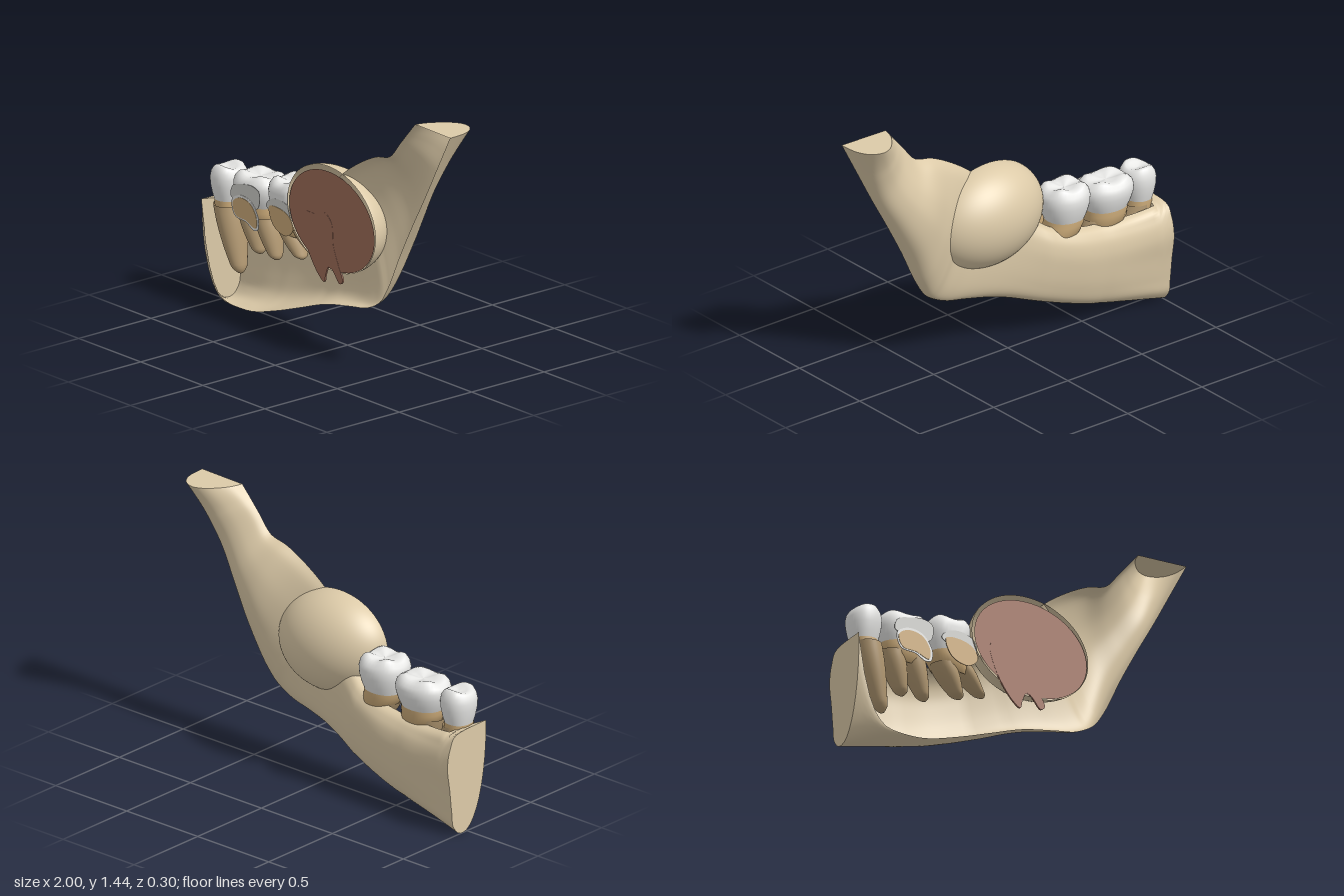
import * as THREE from 'three';

const mat = (name, color) => {
  const m = new THREE.MeshStandardMaterial({ color, side: THREE.DoubleSide });
  m.name = name;
  return m;
};
const FRONT = 0.15; // plane of the lengthwise cut
const step = THREE.MathUtils.smoothstep;

// indexed grid of rows; closed rows wrap around
function grid(rows, closed) {
  const n = rows[0].length, pos = rows.flat(2), idx = [];
  for (let i = 0; i < rows.length - 1; i++) {
    for (let j = 0; j < (closed ? n : n - 1); j++) {
      const a = i * n + j, b = i * n + (j + 1) % n, c = a + n, d = b + n;
      if (closed) idx.push(a, c, b, b, c, d);
      else idx.push(a, b, c, b, d, c);
    }
  }
  const g = new THREE.BufferGeometry();
  g.setAttribute('position', new THREE.Float32BufferAttribute(pos, 3));
  g.setIndex(idx);
  g.computeVertexNormals();
  return g;
}

// flat lid over an open row of points
function fan(row, flip) {
  const n = row.length, pos = [];
  const c = [0, 1, 2].map((k) => row.reduce((sum, p) => sum + p[k], 0) / n);
  row.forEach((p, j) => {
    const q = row[(j + 1) % n];
    pos.push(...c, ...(flip ? q : p), ...(flip ? p : q));
  });
  const g = new THREE.BufferGeometry();
  g.setAttribute('position', new THREE.Float32BufferAttribute(pos, 3));
  g.computeVertexNormals();
  return g;
}

// rings listed from bottom to top: [x, y, z, rx, rz, cusp height]
function loft(rings, power = 1, cusps = 4) {
  const segs = 40;
  const f = (v) => Math.sign(v) * Math.abs(v) ** power;
  return grid(rings.map(([x, y, z, rx, rz, cusp = 0]) =>
    Array.from({ length: segs }, (_, j) => {
      const a = (j / segs) * Math.PI * 2;
      return [x + rx * f(Math.cos(a)), y - cusp * Math.cos(cusps * a),
        Math.min(z + rz * f(Math.sin(a)), FRONT - 0.008)];
    })), true);
}

// smooth outline through a few points
function outline(points) {
  const curve = new THREE.CatmullRomCurve3(
    points.map(([x, y]) => new THREE.Vector3(x, y, 0)), true);
  return new THREE.Shape(curve.getPoints(90).slice(0, -1).map((p) => new THREE.Vector2(p.x, p.y)));
}

export function createModel() {
  const group = new THREE.Group();
  const bone = mat('bone', 0xdccaa8);
  const enamel = mat('enamel', 0xe8e8e6);
  const dentin = mat('cut dentin', 0xcfcfcb);
  const neck = mat('tooth neck', 0xcdac7a);
  const rootMat = mat('root', 0xb59b74);
  const lesion = mat('lesion', 0x9e6d59);
  const add = (name, geo, material, parent = group) => {
    const m = new THREE.Mesh(geo, material);
    m.name = name;
    parent.add(m);
    return m;
  };

  // cross-sections of cut end, body and ramus: [lower to upper, depth]
  const profiles = [
    [[0, 0], [-0.114, 0.6], [-0.02, 0.84], [0.15, 0.89], [0.4, 0.94], [0.65, 1], [0.85, 0.93], [0.98, 0.74], [1, 0]],
    [[0, 0], [0.02, 0.5], [0.1, 0.78], [0.28, 0.91], [0.5, 0.98], [0.7, 1], [0.87, 0.92], [0.98, 0.68], [1, 0]],
    [[0, 0], [0.02, 0.45], [0.1, 0.75], [0.23, 0.93], [0.41, 1], [0.58, 0.92], [0.74, 0.73], [0.92, 0.38], [1, 0.04]],
  ].map((p) => new THREE.SplineCurve(p.map(([u, w]) => new THREE.Vector2(u, w))));

  // jaw stations: lower x, y, upper x, y, depth, position along the profiles
  const stations = [
    [-1, 0.06, -1, 0.585, 0.303, 0],
    [-0.8, 0.06, -0.8, 0.56, 0.275, 0.45],
    [-0.6, 0.065, -0.6, 0.565, 0.262, 0.95],
    [-0.4, 0.12, -0.42, 0.59, 0.252, 1],
    [-0.2, 0.19, -0.26, 0.64, 0.22, 1],
    [0, 0.26, -0.12, 0.75, 0.16, 1.15],
    [0.2, 0.3, 0, 0.9, 0.11, 1.5],
    [0.33, 0.325, 0.08, 0.97, 0.09, 1.8],
    [0.43, 0.38, 0.16, 1.04, 0.1, 2],
    [0.5, 0.48, 0.28, 1.12, 0.13, 2],
    [0.6, 0.69, 0.4, 1.18, 0.155, 2],
    [0.7, 0.88, 0.51, 1.21, 0.135, 2],
    [0.8, 1.06, 0.59, 1.3, 0.115, 2],
    [0.9, 1.25, 0.65, 1.37, 0.145, 2],
    [1, 1.44, 0.71, 1.44, 0.21, 2],
  ];
  const curveOf = (fn) => new THREE.CatmullRomCurve3(stations.map((s) => new THREE.Vector3(...fn(s))));
  const lower = curveOf((s) => [s[0], s[1], 0]);
  const upper = curveOf((s) => [s[2], s[3], 0]);
  const form = curveOf((s) => [s[4], s[5], 0]);
  const rows = [];
  for (let i = 0; i <= 84; i++) {
    const t = i / 84, lo = lower.getPoint(t), up = upper.getPoint(t), f = form.getPoint(t);
    const kind = THREE.MathUtils.clamp(f.y, 0, 2), k = Math.min(1, Math.floor(kind));
    // the crest stays open in front of the roots
    const open = step(up.x, -1, -0.93) * (1 - step(up.x, -0.3, -0.1));
    const start = 0.125 * (1 - step(lo.x, -0.9, -0.4));
    const end = 1 - 0.125 * open;
    const inner = Array.from({ length: 41 }, (_, j) => {
      const v = start + (end - start) * j / 40;
      const p = profiles[k].getPoint(v).lerp(profiles[k + 1].getPoint(v), kind - k);
      return [lo.x + (up.x - lo.x) * p.x, Math.max(0, lo.y + (up.y - lo.y) * p.x), FRONT - f.x * Math.max(0, p.y)];
    });
    // outer lip rising towards the cut end
    const [sx, sy, sz] = inner[0];
    const rim = lo.y + 0.5 * Math.max(0, (-0.6 - lo.x) / 0.4) ** 6;
    const lip = Array.from({ length: 10 }, (_, j) => {
      const b = (1 - j / 10) * Math.PI / 2;
      return [sx, sy + (rim - sy) * (1 - Math.cos(b)), sz + (FRONT - sz) * Math.sin(b)];
    });
    rows.push([...lip, ...inner]);
  }
  add('jawBone', grid(rows, false), bone);
  add('frontEndCap', fan(rows[0], true), bone);
  add('ramusTopCap', fan(rows[84], false), bone);

  // swollen bone shell with the lesion section inside
  const shell = add('swollenShell', new THREE.SphereGeometry(1, 56, 40, Math.PI, Math.PI), bone);
  shell.scale.set(0.356, 0.284, 0.245);
  shell.rotation.z = -0.15;
  shell.position.set(0.045, 0.744, FRONT);
  const disc = add('lesionSection', new THREE.CircleGeometry(1, 72), lesion);
  disc.scale.set(0.345, 0.266, 1);
  disc.rotation.z = -0.15;
  disc.position.set(0.048, 0.733, FRONT - 0.001);

  // buried tooth, cut flush with the lesion
  const buried = new THREE.ExtrudeGeometry(outline([
    [-0.2, 0.7], [-0.17, 0.735], [-0.09, 0.74], [-0.01, 0.765], [0.045, 0.72], [0.06, 0.6],
    [0.1, 0.5], [0.135, 0.42], [0.11, 0.4], [0.055, 0.46], [0.025, 0.475], [0, 0.43],
    [-0.015, 0.38], [-0.06, 0.41], [-0.13, 0.5], [-0.18, 0.6],
  ]), { depth: 0.01, bevelEnabled: false });
  add('buriedTooth', buried, lesion).position.z = FRONT - 0.01;

  // teeth: crown centre, base, height, half sizes, cusps, roots [top x, y, tip x, y, radius]
  const teeth = [
    { name: 'premolar', x: -0.908, z: 0.04, y: 0.585, h: 0.2, rx: 0.092, rz: 0.1, cusp: 0.01, n: 2, shift: 0.02,
      roots: [[-0.895, 0.57, -0.8, 0.2, 0.078]] },
    { name: 'firstMolar', x: -0.675, z: 0.02, y: 0.615, h: 0.18, rx: 0.155, rz: 0.128, cusp: 0.008, n: 4, shift: 0.02,
      roots: [[-0.735, 0.57, -0.665, 0.34, 0.07], [-0.61, 0.57, -0.53, 0.34, 0.068]] },
    { name: 'secondMolar', x: -0.4, z: 0.025, y: 0.63, h: 0.205, rx: 0.138, rz: 0.128, cusp: 0.01, n: 4, shift: 0.05,
      roots: [[-0.42, 0.57, -0.32, 0.4, 0.068], [-0.31, 0.58, -0.18, 0.44, 0.062]] },
  ];
  const profile = [[0, 0.76, 0], [0.2, 0.88, 0], [0.45, 0.98, 0], [0.65, 1, 0.2], [0.8, 0.94, 0.6],
    [0.92, 0.8, 1], [0.96, 0.64, 1], [0.92, 0.42, 0.6], [0.88, 0.2, 0.2], [0.87, 0, 0]];
  for (const t of teeth) {
    const tooth = new THREE.Group();
    tooth.name = t.name;
    group.add(tooth);
    add('crown', loft(profile.map(([v, r, c]) =>
      [t.x, t.y + v * t.h, t.z, t.rx * r, t.rz * r, t.cusp * c]), 0.9, t.n), enamel, tooth);
    add('neck', loft([[1, -0.1, 0.5], [0.5, -0.07, 0.72], [0.1, -0.02, 0.78], [0, 0.015, 0.78]].map(([k, dy, r]) =>
      [t.x + k * t.shift, t.y + dy, t.z, t.rx * r, t.rz * r]), 0.9), neck, tooth);
    for (const [x0, y0, x1, y1, r] of t.roots) {
      const rings = [];
      for (let i = 0; i <= 14; i++) {
        const v = (i / 14) ** 1.5; // closer rings round off the tip
        const size = r * (0.42 * Math.sqrt(Math.min(1, v * 9)) + 0.58 * Math.sin(v * Math.PI / 2));
        rings.push([x1 + (x0 - x1) * v ** 0.85, y1 + (y0 - y1) * v, t.z + 0.01, size, size * 1.15]);
      }
      add('root', loft(rings), rootMat, tooth);
    }
  }

  // cut faces of the two molars
  const plate = (name, pts, material, z) => {
    const g = new THREE.ExtrudeGeometry(outline(pts), { depth: 0.003, bevelEnabled: false });
    add(name, g, material).position.z = FRONT - z;
  };
  plate('firstMolarCut', [[-0.775, 0.66], [-0.76, 0.72], [-0.69, 0.745], [-0.6, 0.755], [-0.545, 0.73], [-0.56, 0.64], [-0.67, 0.645]],
    dentin, 0.01);
  plate('firstMolarEnamelEdge', [[-0.765, 0.64], [-0.7, 0.682], [-0.61, 0.668], [-0.55, 0.59], [-0.555, 0.525],
    [-0.59, 0.515], [-0.65, 0.545], [-0.74, 0.56]], enamel, 0.008);
  plate('firstMolarPulp', [[-0.755, 0.63], [-0.7, 0.668], [-0.615, 0.655], [-0.565, 0.59], [-0.57, 0.53],
    [-0.65, 0.555], [-0.73, 0.565]], neck, 0.006);
  plate('secondMolarCut', [[-0.49, 0.68], [-0.45, 0.725], [-0.36, 0.735], [-0.29, 0.7], [-0.28, 0.64], [-0.38, 0.63]],
    dentin, 0.01);
  plate('secondMolarNeck', [[-0.465, 0.68], [-0.38, 0.69], [-0.3, 0.66], [-0.27, 0.6], [-0.33, 0.55], [-0.43, 0.585]],
    neck, 0.008);
  return group;
}
